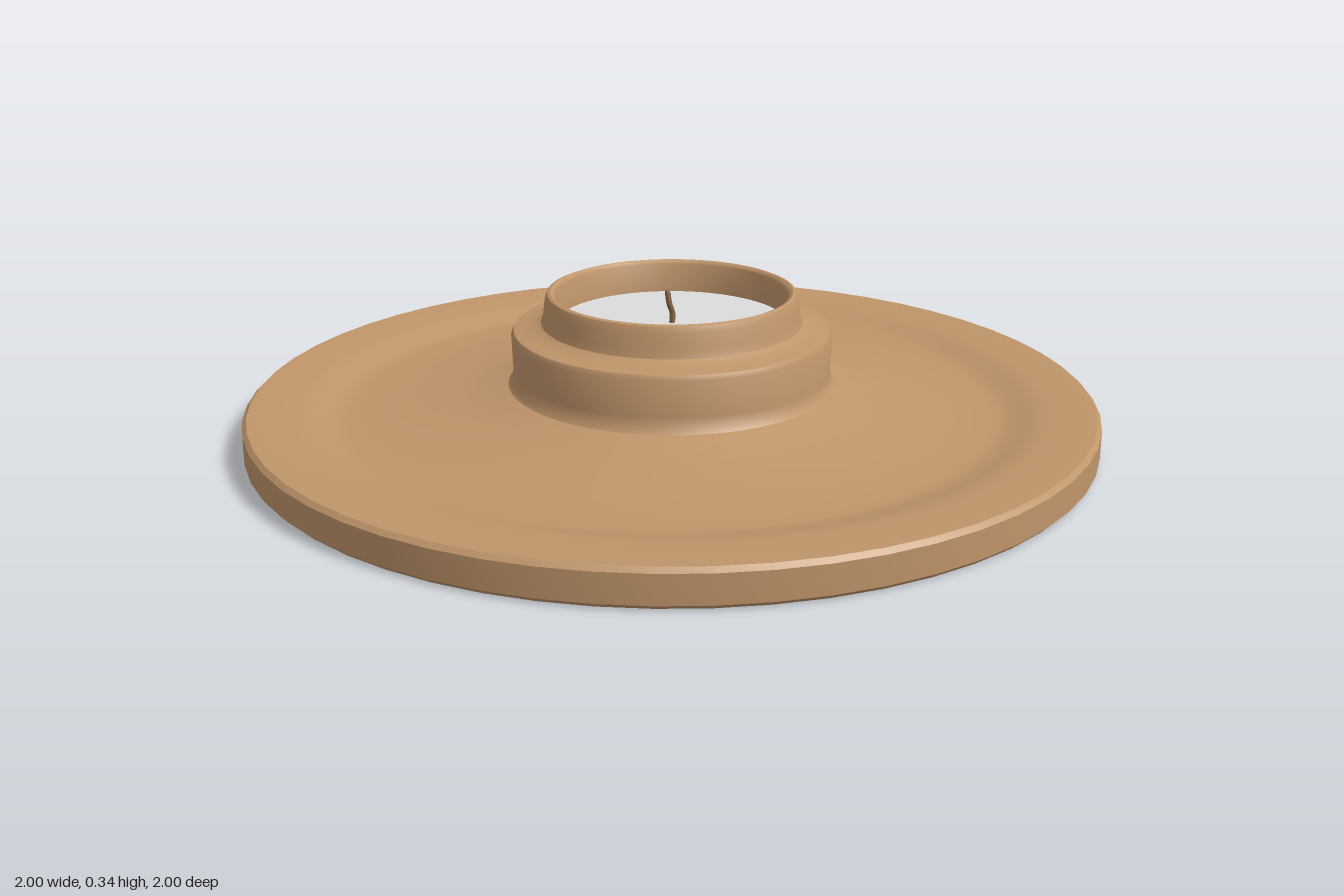
import * as THREE from 'three';
import { toCreasedNormals } from 'three/addons/utils/BufferGeometryUtils.js';

const wood = new THREE.MeshStandardMaterial({ color: 0xc0956a });
wood.name = 'turned wood';
const wax = new THREE.MeshStandardMaterial({ color: 0xdcdcdc });
wax.name = 'pale wax';
const char = new THREE.MeshStandardMaterial({ color: 0x80603f });
char.name = 'wick brown';

// Revolve a list of [radius, height] pairs, keeping sharp edges sharp
function turned(name, profile, material, sides = 56) {
  const points = profile.map(([r, y]) => new THREE.Vector2(r, y));
  const geometry = toCreasedNormals(new THREE.LatheGeometry(points, sides), 0.7);
  const mesh = new THREE.Mesh(geometry, material);
  mesh.name = name;
  return mesh;
}

export function createModel() {
  const group = new THREE.Group();
  group.name = 'candleHolder';

  // Broad dish: flat base, raised rim, shallow groove, centre rising to the cup
  group.add(turned('dish', [
    [0, 0], [0.99, 0], [1, 0.01], [1, 0.075], [0.99, 0.085],
    [0.88, 0.083], [0.83, 0.075], [0.8, 0.062], [0.76, 0.06],
    [0.65, 0.07], [0.5, 0.088], [0.42, 0.105], [0.39, 0.115], [0.37, 0.12],
  ], wood));

  // Stepped cup with rounded shoulders and a thin open lip
  group.add(turned('cup', [
    [0.39, 0.113], [0.38, 0.125], [0.375, 0.15], [0.378, 0.235], [0.372, 0.246],
    [0.355, 0.25], [0.325, 0.252], [0.308, 0.262], [0.302, 0.28], [0.298, 0.318],
    [0.292, 0.332], [0.285, 0.335], [0.278, 0.332], [0.274, 0.325], [0.274, 0.23],
  ], wood));

  // Wax filling the cup
  group.add(turned('wax', [[0.275, 0.255], [0, 0.255]], wax));

  // Slightly curled wick
  const path = new THREE.CatmullRomCurve3([
    new THREE.Vector3(0, 0.25, 0),
    new THREE.Vector3(0.004, 0.275, -0.003),
    new THREE.Vector3(-0.003, 0.3, -0.006),
    new THREE.Vector3(-0.004, 0.325, -0.012),
  ]);
  const wick = new THREE.Group();
  wick.name = 'wick';
  const stem = new THREE.Mesh(new THREE.TubeGeometry(path, 10, 0.007, 8), char);
  stem.name = 'wickStem';
  const tip = new THREE.Mesh(new THREE.SphereGeometry(0.007, 8, 6), char);
  tip.name = 'wickTip';
  tip.position.copy(path.getPoint(1));
  wick.add(stem, tip);
  group.add(wick);

  return group;
}
